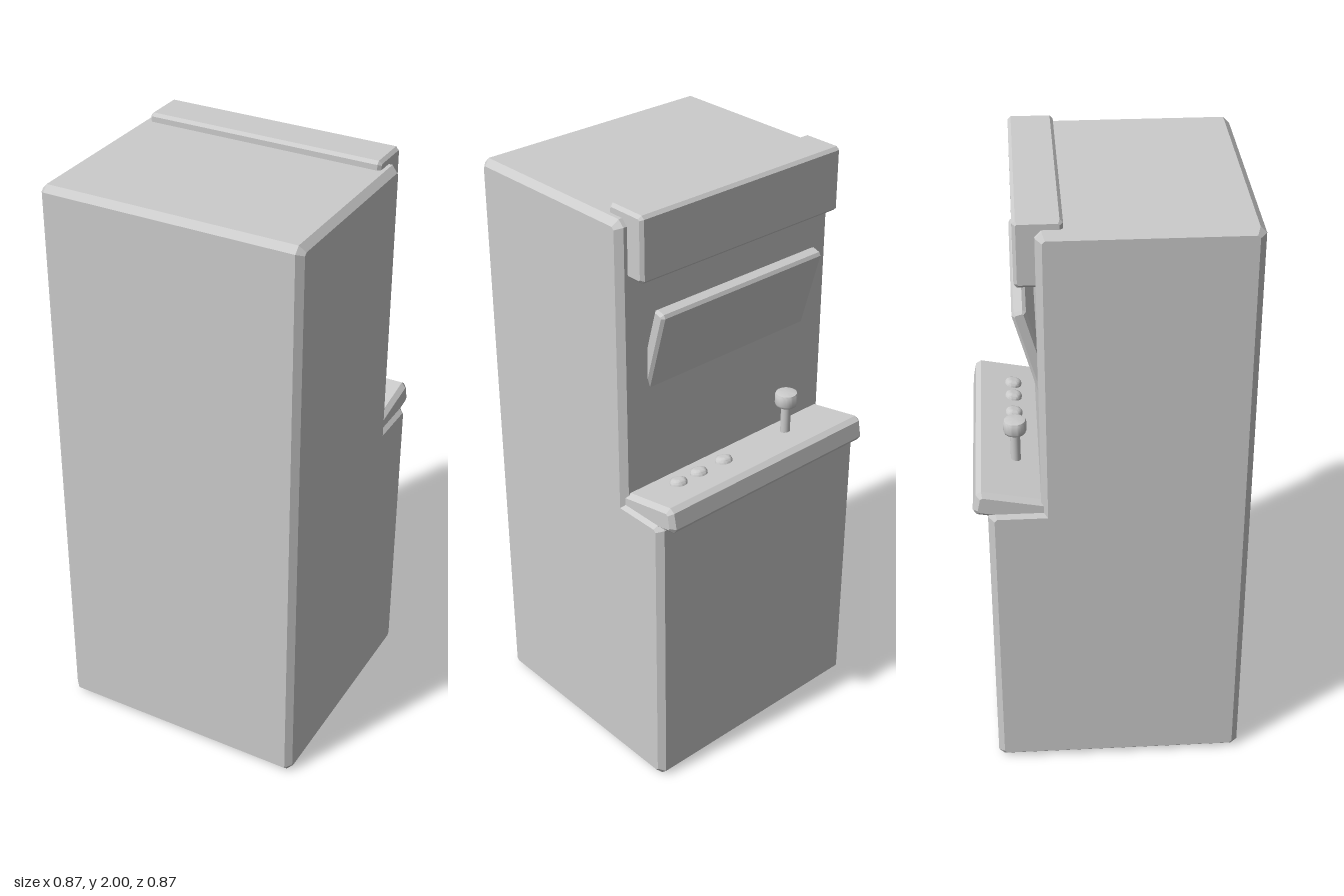
import * as THREE from 'three';
import { toCreasedNormals } from 'three/addons/utils/BufferGeometryUtils.js';

const cabinetGrey = new THREE.MeshStandardMaterial({ color: 0xcccccc });
cabinetGrey.name = 'cabinetGrey';

// Corners of a tilted rectangle; first axis points out of the control side (-z), second is up
function rectangle(cx, cy, w, h, angle = 0) {
  const c = Math.cos(angle), s = Math.sin(angle);
  return [[-1, -1], [1, -1], [1, 1], [-1, 1]].map(([i, j]) => {
    const a = i * w / 2, b = j * h / 2;
    return [cx + a * c - b * s, cy + a * s + b * c];
  });
}

// Side profile extruded across x, with every convex edge chamfered
function chamferedSlab(name, corners, width, chamfer) {
  const points = [];
  corners.forEach((corner, i) => {
    const p = new THREE.Vector2(...corner);
    const toPrev = new THREE.Vector2(...corners.at(i - 1)).sub(p).normalize();
    const toNext = new THREE.Vector2(...corners[(i + 1) % corners.length]).sub(p).normalize();
    if (toNext.cross(toPrev) < 0) points.push(p); // inner corner stays sharp
    else points.push(p.clone().addScaledVector(toPrev, chamfer), p.clone().addScaledVector(toNext, chamfer));
  });
  const depth = width - 2 * chamfer;
  const geometry = new THREE.ExtrudeGeometry(new THREE.Shape(points), {
    depth, bevelEnabled: true, bevelSegments: 1,
    bevelThickness: chamfer, bevelSize: chamfer, bevelOffset: -chamfer,
  });
  geometry.translate(0, 0, -depth / 2).rotateY(Math.PI / 2);
  return named(name, geometry);
}

function named(name, geometry) {
  const mesh = new THREE.Mesh(geometry, cabinetGrey);
  mesh.name = name;
  return mesh;
}

function turned(name, profile) {
  const points = profile.map(([r, y]) => new THREE.Vector2(r, y));
  return named(name, toCreasedNormals(new THREE.LatheGeometry(points, 32), 0.7));
}

export function createModel() {
  const model = new THREE.Group();
  model.name = 'arcadeCabinet';

  // Stepped cabinet body
  model.add(chamferedSlab('cabinetBody', [
    [-0.435, 0], [0.389, 0], [0.389, 1.024], [0.222, 1.024], [0.222, 1.972], [-0.435, 1.972],
  ], 0.87, 0.02));

  // Header box, leaning screen and sloping control panel
  model.add(chamferedSlab('header', rectangle(0.2125, 1.895, 0.145, 0.21), 0.805, 0.01));
  model.add(chamferedSlab('screen', rectangle(0.221, 1.483, 0.045, 0.4, -0.272), 0.665, 0.009));
  model.add(chamferedSlab('controlPanel', rectangle(0.283, 1.027, 0.3, 0.085, 0.192), 0.845, 0.015));

  // Joystick
  const joystick = new THREE.Group();
  joystick.name = 'joystick';
  joystick.position.set(-0.193, 0, -0.296);
  const stem = named('joystickStem', new THREE.CylinderGeometry(0.016, 0.016, 0.15, 24));
  stem.position.y = 1.105;
  const knob = turned('joystickKnob', [
    [0, 1.169], [0.026, 1.169], [0.034, 1.174], [0.037, 1.182], [0.037, 1.212], [0.034, 1.218], [0.026, 1.22], [0, 1.221],
  ]);
  joystick.add(stem, knob);
  model.add(joystick);

  // Domed push buttons
  for (const x of [0.083, 0.19, 0.275]) {
    const button = turned('button', [
      [0.028, -0.02], [0.028, 0.012], [0.025, 0.018], [0.018, 0.022], [0.009, 0.024], [0, 0.025],
    ]);
    button.position.set(x, 1.068, -0.298);
    button.rotation.x = 0.192;
    model.add(button);
  }
  return model;
}
